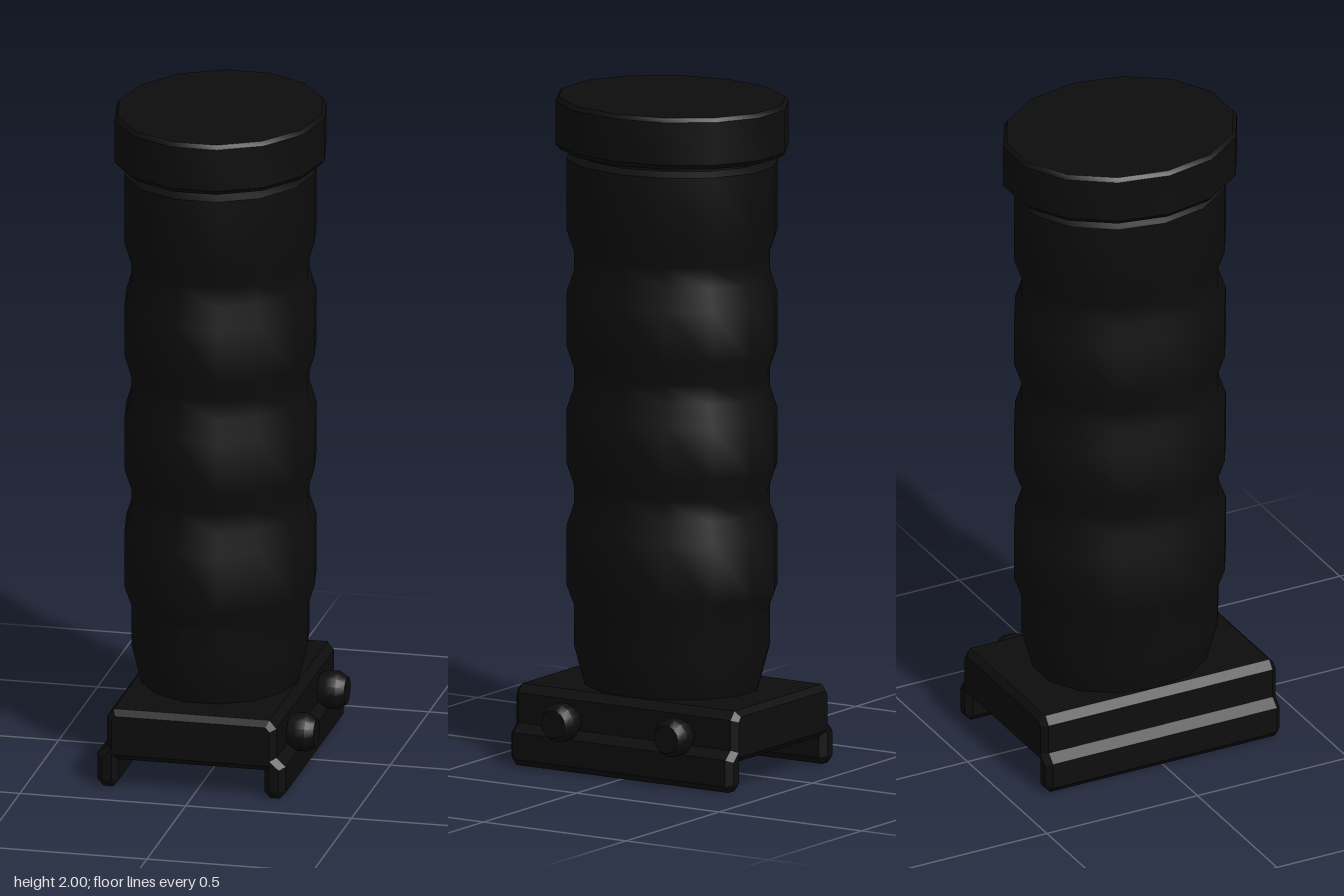
import * as THREE from 'three';
import { toCreasedNormals } from 'three/addons/utils/BufferGeometryUtils.js';

const CX = -0.012; // axis of the grip
const X_SQUASH = 0.872; // oval section: narrower across x

function lathe(points, sides, start = 0) {
  return new THREE.LatheGeometry(points.map(([r, y]) => new THREE.Vector2(r, y)), sides, start);
}

export function createModel() {
  const group = new THREE.Group();
  const black = new THREE.MeshStandardMaterial({ color: 0x0d0d0d });
  black.name = 'matte black';

  function add(name, geometry, x = 0, y = 0, z = 0) {
    const mesh = new THREE.Mesh(geometry, black);
    mesh.name = name;
    mesh.position.set(x, y, z);
    group.add(mesh);
    return mesh;
  }

  // Fourteen-sided oval turned from a profile of [radius, height]
  function oval(profile, crease) {
    const g = new THREE.LatheGeometry(
      profile.map(([r, y]) => new THREE.Vector2(r, y)), 14, Math.PI / 2);
    g.scale(X_SQUASH, 1, 1);
    return toCreasedNormals(g, crease);
  }

  // Handle with three finger grooves
  const wide = 0.326, narrow = 0.303;
  const profile = [[0, 0.235], [0.268, 0.235], [0.275, 0.26], [narrow, 0.36], [narrow, 0.48], [wide, 0.54]];
  for (const y of [0.81, 1.16, 1.51]) {
    profile.push([wide, y - 0.095], [narrow, y - 0.03], [narrow, y + 0.03], [wide, y + 0.095]);
  }
  profile.push([wide, 1.815], [0.298, 1.83], [0.298, 1.87], [0, 1.87]);
  add('handle', oval(profile, 0.6), CX);

  // End cap with small chamfers
  add('endCap', oval([
    [0, 1.845], [0.345, 1.845], [0.36, 1.86], [0.36, 1.988], [0.349, 2], [0, 2],
  ], 0.6), CX);

  // Rail clamp: a channel section with chamfered ends
  const half = [[0.235, 0.24], [0.256, 0.215], [0.256, 0.125], [0.284, 0.1],
    [0.284, 0.02], [0.266, 0], [0.236, 0], [0.22, 0.02], [0.22, 0.085]];
  const outline = [...half, ...half.map(([x, y]) => [-x, y]).reverse()];
  const shape = new THREE.Shape(outline.map(([x, y]) => new THREE.Vector2(x, y)));
  const bevel = 0.018, length = 0.78;
  const clamp = new THREE.ExtrudeGeometry(shape, {
    depth: length - 2 * bevel,
    bevelEnabled: true, bevelThickness: bevel, bevelSize: bevel, bevelOffset: -bevel, bevelSegments: 1,
  });
  clamp.translate(0, 0, -length / 2 + bevel);
  add('railClamp', clamp, CX);

  // Two clamp screws on the left side
  for (const z of [0.198, -0.198]) {
    const screw = lathe([[0, 0], [0.045, 0], [0.057, 0.03], [0.057, 0.062], [0.042, 0.087], [0, 0.087]], 14);
    screw.rotateZ(-Math.PI / 2);
    add('clampScrew', toCreasedNormals(screw, 0.6), 0.237, 0.152, z);
  }

  return group;
}
